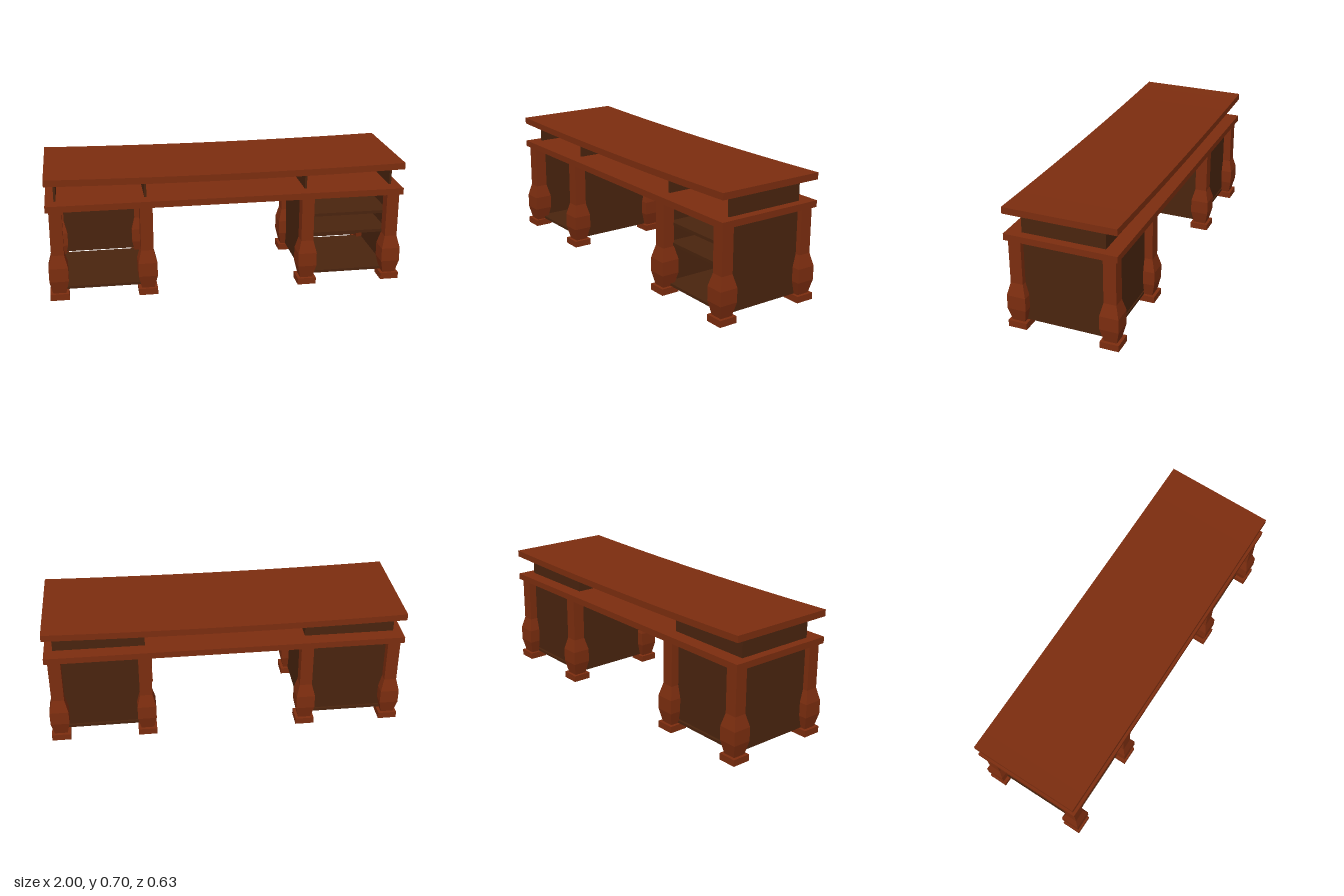
import * as THREE from 'three';

export function createModel() {
  const desk = new THREE.Group();
  desk.name = 'desk';

  const redWood = new THREE.MeshStandardMaterial({ color: 0x7c2d0f });
  redWood.name = 'red wood';
  const darkWood = new THREE.MeshStandardMaterial({ color: 0x4a240e });
  darkWood.name = 'dark wood';

  const add = (parent, name, geometry, material, x = 0, y = 0, z = 0) => {
    const mesh = new THREE.Mesh(geometry, material);
    mesh.name = name;
    mesh.position.set(x, y, z);
    parent.add(mesh);
    return mesh;
  };
  // Box given by its limits on each axis
  const slab = (parent, name, material, [x0, x1], [y0, y1], [z0, z1]) =>
    add(parent, name, new THREE.BoxGeometry(x1 - x0, y1 - y0, z1 - z0), material,
      (x0 + x1) / 2, (y0 + y1) / 2, (z0 + z1) / 2);
  const facet = (geometry) => {
    const flat = geometry.toNonIndexed();
    flat.computeVertexNormals();
    return flat;
  };

  // Upper top, sagging gently towards the middle
  const topGeometry = new THREE.BoxGeometry(2, 0.037, 0.626, 20, 1, 1);
  const topPos = topGeometry.attributes.position;
  for (let i = 0; i < topPos.count; i++) {
    topPos.setY(i, topPos.getY(i) + 0.013 * topPos.getX(i) ** 2);
  }
  add(desk, 'curvedTop', facet(topGeometry), redWood, 0, 0.6715, 0);

  // Lower top
  slab(desk, 'lowerTop', redWood, [-1, 1], [0.517, 0.553], [-0.313, 0.313]);

  // Square baluster leg: height and half width at each level
  const profile = [[0.037, 0.036], [0.112, 0.053], [0.19, 0.053], [0.262, 0.035], [0.517, 0.035]];
  const legGeometry = new THREE.BoxGeometry(2, 1, 2, 1, profile.length - 1, 1);
  const legPos = legGeometry.attributes.position;
  for (let i = 0; i < legPos.count; i++) {
    const level = Math.round((legPos.getY(i) + 0.5) * (profile.length - 1));
    const [y, half] = profile[level];
    legPos.setXYZ(i, legPos.getX(i) * half, y, legPos.getZ(i) * half);
  }
  const postGeometry = facet(legGeometry);
  const footGeometry = new THREE.BoxGeometry(0.106, 0.037, 0.106);
  for (const x of [-0.947, -0.455, 0.455, 0.947]) {
    for (const z of [-0.2615, 0.2615]) {
      const leg = new THREE.Group();
      leg.name = 'leg';
      leg.position.set(x, 0, z);
      add(leg, 'legPost', postGeometry, redWood);
      add(leg, 'legFoot', footGeometry, redWood, 0, 0.0185, 0);
      desk.add(leg);
    }
  }

  // Cabinets, open at the front, with open compartments above
  for (const side of [-1, 1]) {
    const cabinet = new THREE.Group();
    cabinet.name = side > 0 ? 'leftCabinet' : 'rightCabinet';
    desk.add(cabinet);
    const span = (a, b) => (side > 0 ? [a, b] : [-b, -a]);

    for (const [name, a, b] of [['outer', 0.94, 0.952], ['inner', 0.447, 0.459]]) {
      slab(cabinet, name + 'SidePanel', darkWood, span(a, b), [0.037, 0.517], [-0.25, 0.25]);
      slab(cabinet, name + 'UpperPanel', darkWood, span(a, b), [0.553, 0.666], [-0.232, 0.232]);
    }
    slab(cabinet, 'floorPanel', darkWood, span(0.459, 0.94), [0.038, 0.053], [-0.25, 0.25]);
    slab(cabinet, 'backPanel', darkWood, span(0.459, 0.94), [0.063, 0.517], [-0.25, -0.238]);
    slab(cabinet, 'upperBackPanel', darkWood, span(0.459, 0.94), [0.553, 0.666], [-0.232, -0.22]);

    // Shelves in one cabinet only
    if (side > 0) {
      for (const y of [0.265, 0.38]) {
        slab(cabinet, 'shelf', darkWood, span(0.459, 0.94), [y, y + 0.017], [-0.238, 0.232]);
      }
    }
  }

  return desk;
}
